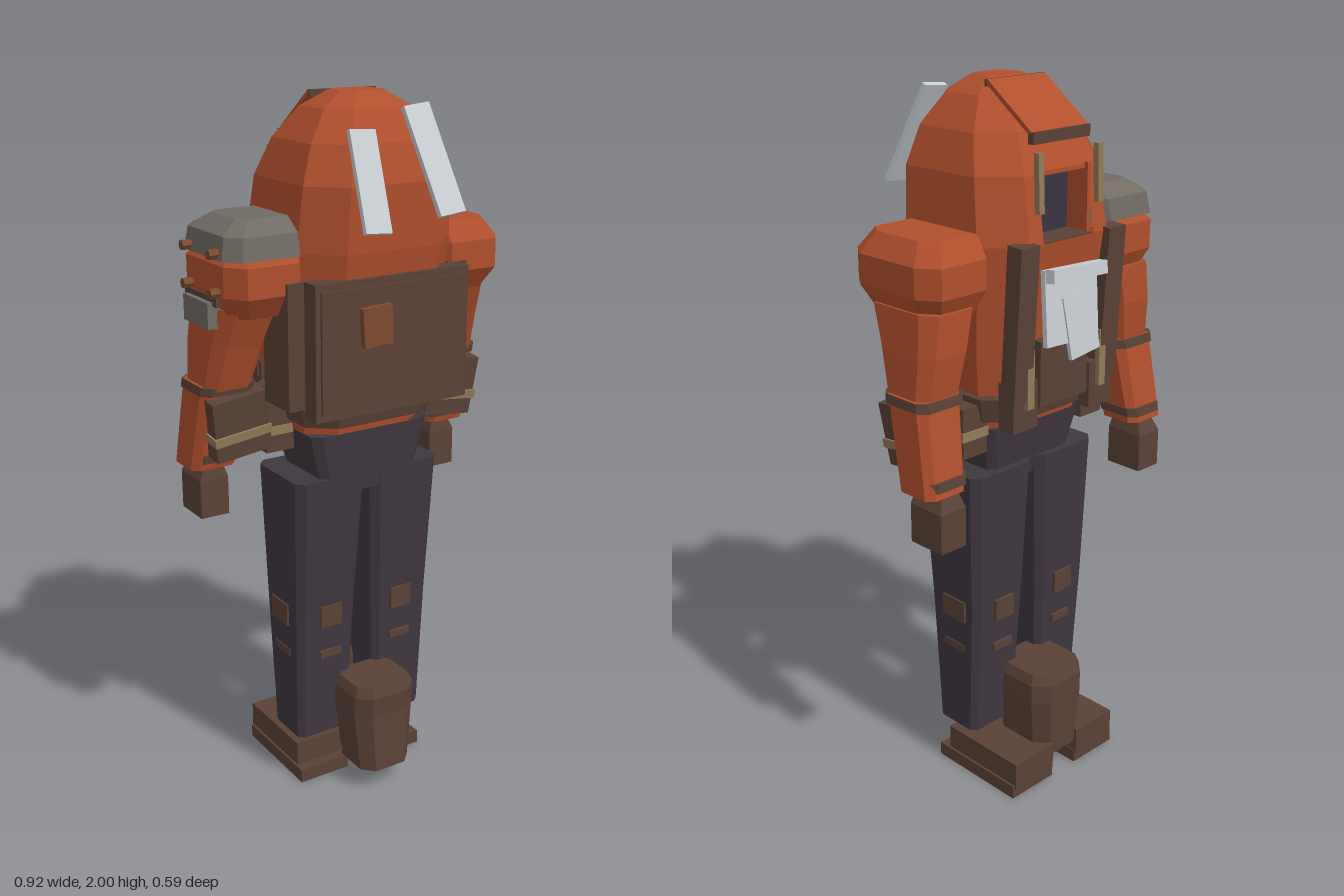
import * as THREE from 'three';

const mat = (name, color, side = THREE.FrontSide) => {
  const m = new THREE.MeshStandardMaterial({ color, side, flatShading: true });
  m.name = name;
  return m;
};

// Chamfered rectangle outline; a door adds two points on the -z edge.
function outline([, x0, x1, z0, z1, c], door) {
  const cx = (x1 - x0) * c / 2, cz = (z1 - z0) * c / 2;
  const p = [[x1, z0 + cz], [x1, z1 - cz], [x1 - cx, z1], [x0 + cx, z1],
    [x0, z1 - cz], [x0, z0 + cz], [x0 + cx, z0]];
  if (door) {
    const w = (x1 - cx) * 0.65;
    p.push([-w, z0], [w, z0]);
  }
  p.push([x1 - cx, z0]);
  return p;
}

// Faceted solid through rings [y, x0, x1, z0, z1, chamfer], listed bottom to top.
// doorRow leaves out one panel in the -z face of that row.
function loft(rings, doorRow = -1) {
  const loops = rings.map(r => outline(r, doorRow >= 0).map(([x, z]) => [x, r[0], z]));
  const n = loops[0].length, pos = [];
  const tri = (a, b, c) => pos.push(...a, ...b, ...c);
  for (let k = 0; k < loops.length - 1; k++) {
    for (let i = 0; i < n; i++) {
      if (k === doorRow && i === 7) continue;
      const j = (i + 1) % n, lo = loops[k], hi = loops[k + 1];
      tri(lo[i], hi[i], lo[j]);
      tri(lo[j], hi[i], hi[j]);
    }
  }
  const bottom = loops[0], top = loops[loops.length - 1];
  for (let i = 1; i < n - 1; i++) {
    tri(bottom[0], bottom[i], bottom[i + 1]);
    tri(top[0], top[i + 1], top[i]);
  }
  const g = new THREE.BufferGeometry();
  g.setAttribute('position', new THREE.Float32BufferAttribute(pos, 3));
  g.computeVertexNormals();
  return g;
}

export function createModel() {
  const root = new THREE.Group();
  root.name = 'suitedFigure';
  const orange = mat('orange cloth', 0xb04f2d);
  const brown = mat('brown leather', 0x5a4237);
  const trousers = mat('dark trousers', 0x40373f);
  const grey = mat('grey armour', 0x716b64);
  const silver = mat('silver plate', 0xc8ced3);
  const tan = mat('tan strap', 0x927a58);
  const rust = mat('rust patch', 0x7c4a2f);
  const dark = mat('visor', 0x3a3440);

  const add = (name, geo, m, parent = root) => {
    const mesh = new THREE.Mesh(geo, m);
    mesh.name = name;
    parent.add(mesh);
    return mesh;
  };
  const box = (name, m, x0, x1, y0, y1, z0, z1, rot = [0, 0, 0]) => {
    const b = add(name, new THREE.BoxGeometry(x1 - x0, y1 - y0, z1 - z0), m);
    b.position.set((x0 + x1) / 2, (y0 + y1) / 2, (z0 + z1) / 2);
    b.rotation.set(...rot);
    return b;
  };
  // Mirrors ring and box extents in x for side s.
  const sideLoft = (name, m, s, rings) => add(name, loft(rings.map(
    ([y, a, b, ...r]) => (s > 0 ? [y, a, b, ...r] : [y, -b, -a, ...r]))), m);
  const sideBox = (name, m, s, a, b, y0, y1, z0, z1, rot = [0, 0, 0]) =>
    box(name, m, s > 0 ? a : -b, s > 0 ? b : -a, y0, y1, z0, z1, [rot[0], s * rot[1], s * rot[2]]);

  // Domed body with a face opening on the -z side
  add('hoodedBody', loft([
    [1.10, -0.19, 0.19, -0.17, 0.10, 0.4],
    [1.30, -0.22, 0.22, -0.21, 0.14, 0.4],
    [1.61, -0.24, 0.24, -0.255, 0.195, 0.4],
    [1.78, -0.225, 0.225, -0.225, 0.20, 0.4],
    [1.88, -0.19, 0.19, -0.175, 0.17, 0.42],
    [1.96, -0.13, 0.13, -0.11, 0.115, 0.45],
    [2.00, -0.065, 0.065, -0.045, 0.06, 0.45],
  ], 2), orange);
  box('face', dark, -0.1, 0.1, 1.6, 1.79, -0.165, -0.155);
  for (const s of [-1, 1]) {
    sideBox('faceJamb', orange, s, 0.086, 0.098, 1.6, 1.79, -0.235, -0.15);
    sideBox('hoodPost', tan, s, 0.1, 0.118, 1.69, 1.84, -0.26, -0.243, [0.04, 0, 0]);
  }
  box('faceSill', brown, -0.09, 0.09, 1.6, 1.612, -0.25, -0.15);
  box('faceLintel', orange, -0.09, 0.09, 1.775, 1.787, -0.225, -0.15);

  // Brim flap over the opening
  box('brimFlap', orange, -0.103, 0.103, 1.93, 1.942, -0.235, -0.04, [-0.63, 0, 0]);
  box('brimEdge', brown, -0.103, 0.103, 1.98, 1.998, -0.06, -0.052);
  box('brimLip', brown, -0.103, 0.103, 1.855, 1.885, -0.225, -0.205);

  // Backpack
  const pack = new THREE.Group();
  pack.name = 'backpack';
  root.add(pack);
  pack.add(
    box('packBody', brown, -0.24, 0.24, 1.18, 1.545, 0.14, 0.195),
    box('packPanel', brown, -0.225, 0.225, 1.2, 1.525, 0.19, 0.203),
    box('packPatch', rust, -0.11, -0.02, 1.37, 1.475, 0.2, 0.222, [0, 0, 0.06]));
  for (const s of [-1, 1]) {
    pack.add(sideBox('packSide', brown, s, 0.23, 0.283, 1.2, 1.54, 0.0, 0.13));
  }

  // Silver strips on the pack side of the hood
  const strip = (x, y, z, w, h, rx, rz) => {
    const m = add('silverStrip', new THREE.BoxGeometry(w, h, 0.015), silver);
    m.position.set(x, y, z);
    m.rotation.set(rx, 0, rz);
  };
  strip(-0.098, 1.795, 0.225, 0.076, 0.265, -0.42, -0.07);
  strip(0.101, 1.835, 0.218, 0.08, 0.295, -0.46, 0.1);

  // Belt and pelvis
  add('belt', loft([
    [1.13, -0.205, 0.205, -0.205, 0.135, 0.35],
    [1.20, -0.222, 0.222, -0.222, 0.15, 0.35]]), brown);
  add('pelvis', loft([
    [0.92, -0.145, 0.145, -0.12, 0.085, 0.15],
    [1.10, -0.19, 0.19, -0.15, 0.098, 0.15]]), trousers);

  // Chest harness
  box('chestPouch', brown, -0.09, 0.09, 1.17, 1.35, -0.245, -0.2);
  box('chestPlate', silver, -0.095, 0.1, 1.34, 1.54, -0.272, -0.257, [0.1, 0, 0.04]);
  box('chestPlateSmall', silver, -0.08, 0.03, 1.30, 1.47, -0.282, -0.27, [0.1, 0, -0.12]);
  box('chestPlateTop', silver, -0.11, 0.1, 1.51, 1.545, -0.295, -0.265, [0.1, 0.04, 0.05]);

  for (const s of [-1, 1]) {
    sideBox('chestStrap', brown, s, 0.13, 0.195, 1.2, 1.62, -0.265, -0.215, [-0.06, 0, 0]);
    sideBox('beltPouch', brown, s, 0.1, 0.19, 1.12, 1.25, -0.245, -0.19);
    sideBox('beltClip', tan, s, 0.125, 0.15, 1.18, 1.34, -0.258, -0.242);
    sideBox('hipPouch', brown, s, 0.185, 0.27, 1.04, 1.18, -0.14, -0.02);
    sideBox('hipPouchBand', tan, s, 0.183, 0.275, 1.09, 1.115, -0.145, -0.015);

    // Shoulder and sleeve
    sideLoft('shoulder', orange, s, [
      [1.45, 0.22, 0.405, -0.17, 0.08, 0.4],
      [1.51, 0.2, 0.43, -0.2, 0.12, 0.35],
      [1.59, 0.2, 0.43, -0.2, 0.12, 0.35],
      [1.645, 0.2, 0.39, -0.16, 0.085, 0.35]]);
    sideLoft('upperArm', orange, s, [
      [1.24, 0.3, 0.44, -0.175, -0.02, 0.35],
      [1.36, 0.275, 0.432, -0.19, 0.02, 0.35],
      [1.47, 0.25, 0.42, -0.19, 0.065, 0.35]]);
    sideLoft('forearm', orange, s, [
      [1.00, 0.325, 0.46, -0.22, -0.09, 0.3],
      [1.25, 0.3, 0.447, -0.18, -0.03, 0.3]]);
    sideLoft('elbowBand', brown, s, [
      [1.225, 0.292, 0.452, -0.19, -0.025, 0.3],
      [1.25, 0.29, 0.45, -0.187, -0.02, 0.3]]);
    sideLoft('wristBand', brown, s, [
      [1.02, 0.32, 0.45, -0.225, -0.08, 0.3],
      [1.045, 0.318, 0.45, -0.222, -0.075, 0.3]]);
    sideLoft('hand', brown, s, [
      [0.85, 0.345, 0.432, -0.23, -0.11, 0.04],
      [0.96, 0.345, 0.432, -0.23, -0.11, 0.04],
      [1.01, 0.36, 0.41, -0.21, -0.12, 0.04]]);

    // Forearm pouch with its strap
    sideBox('forearmPouch', brown, s, 0.265, 0.43, 1.05, 1.225, -0.09, -0.01, [0.1, 0, -0.12]);
    sideBox('forearmStrap', tan, s, 0.26, 0.432, 1.1, 1.125, -0.095, -0.005, [0.1, 0, -0.12]);

    // Trouser leg and knee patches
    sideLoft('leg', trousers, s, [
      [0.15, 0.045, 0.213, -0.11, 0.04, 0.2],
      [0.55, 0.03, 0.222, -0.135, 0.062, 0.2],
      [0.97, 0.01, 0.235, -0.15, 0.09, 0.2]]);
    for (const [z0, z1] of [[0.05, 0.07], [-0.145, -0.125]]) {
      sideBox('kneePatch', brown, s, 0.085, 0.155, 0.51, 0.575, z0, z1);
      sideBox('kneeStrip', brown, s, 0.085, 0.155, 0.41, 0.432, z0 * 0.95, z1 * 0.93);
    }
    sideBox('sideKneePatch', brown, s, 0.21, 0.228, 0.51, 0.575, -0.09, 0.0);
    sideBox('sideKneeStrip', brown, s, 0.207, 0.222, 0.41, 0.432, -0.08, 0.0);

    // Foot
    sideBox('sole', brown, s, 0.047, 0.21, 0, 0.04, -0.27, 0.04);
    sideBox('shoe', brown, s, 0.05, 0.203, 0.03, 0.112, -0.275, 0.005);
  }

  // Boot shafts, one at each end of the stance
  for (const [z0, z1] of [[0.02, 0.2], [-0.275, -0.065]]) {
    add('bootShaft', loft([
      [0.07, -0.083, 0.083, z0 + 0.01, z1, 0.4],
      [0.25, -0.1, 0.1, z0, z1 - 0.005, 0.4],
      [0.31, -0.1, 0.1, z0, z1, 0.4],
      [0.34, -0.088, 0.088, z0 + 0.01, z1 - 0.01, 0.4]]), brown);
  }

  // Armoured shoulder on one side only
  add('shoulderPad', loft([
    [1.605, -0.435, -0.2, -0.19, 0.115, 0.3],
    [1.665, -0.425, -0.2, -0.18, 0.105, 0.3],
    [1.70, -0.37, -0.21, -0.13, 0.05, 0.3]]), grey);
  box('armPlate', grey, -0.45, -0.4, 1.42, 1.49, -0.13, 0.01);
  box('armPlateBand', brown, -0.435, -0.39, 1.48, 1.505, -0.15, 0.03);
  for (const y of [1.62, 1.52]) {
    for (const z of [-0.115, 0.037]) {
      const bolt = add('padBolt', new THREE.CylinderGeometry(0.014, 0.014, 0.035, 6), rust);
      bolt.position.set(-0.44, y, z);
      bolt.rotation.z = Math.PI / 2;
    }
  }
  return root;
}
